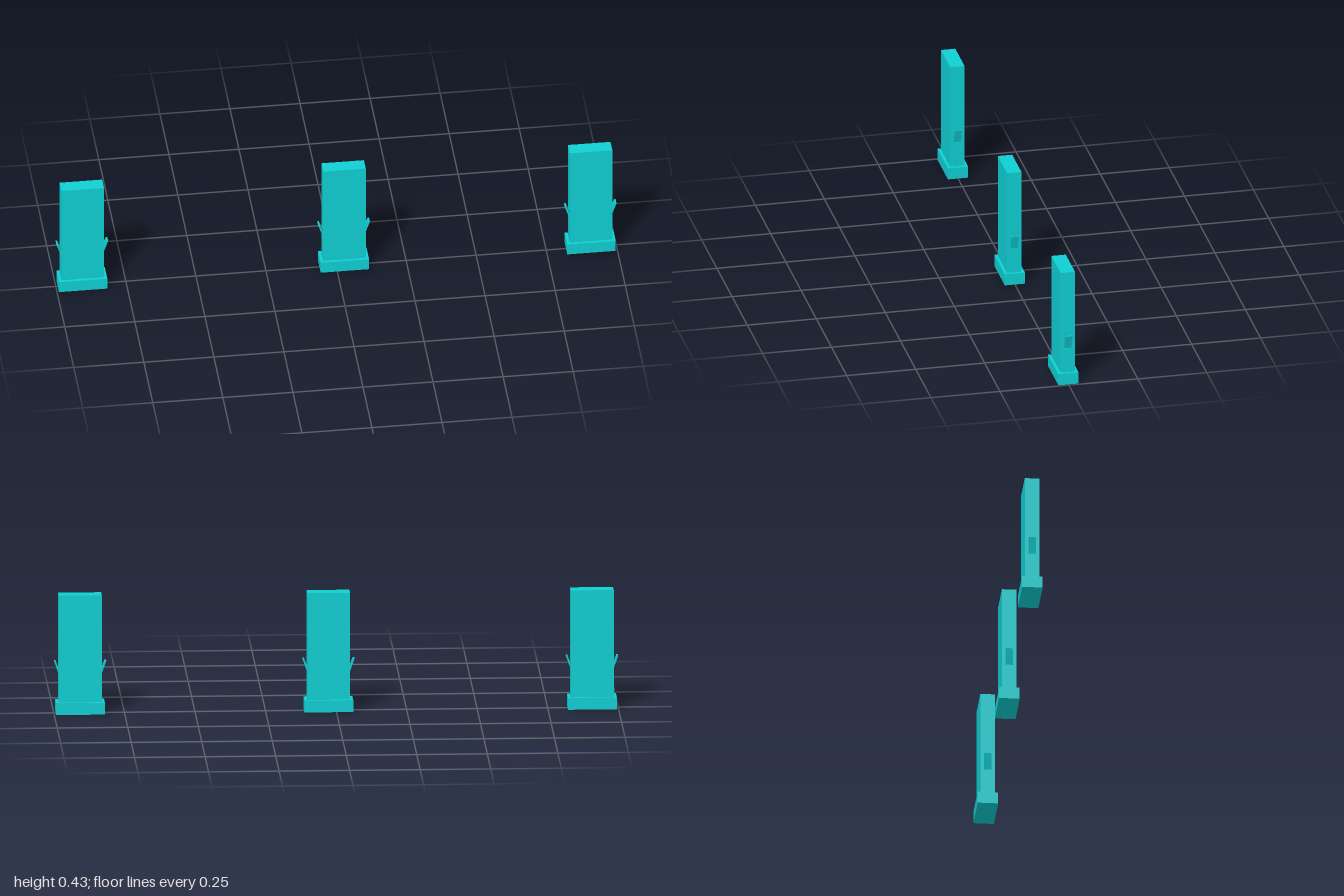
import * as THREE from 'three';

const BODY = { w: 0.152, h: 0.43, d: 0.052 };
const BASE = { w: 0.173, h: 0.043, d: 0.073 };
const SLOT = { bottom: 0.136, top: 0.199, half: 0.0135, depth: 0.012 };

const material = new THREE.MeshStandardMaterial({ color: 0x0fced2, flatShading: true });

function addPart(parent, name, geometry, x = 0, y = 0, z = 0) {
  const mesh = new THREE.Mesh(geometry, material);
  mesh.name = name;
  mesh.position.set(x, y, z);
  parent.add(mesh);
  return mesh;
}

// Side wall of the body with a round-topped slot, extruded along x
function sideWallGeometry() {
  const { half, bottom, top, depth } = SLOT;
  const r = 0.004;
  const wall = new THREE.Shape();
  wall.moveTo(-BODY.d / 2, BASE.h);
  wall.lineTo(BODY.d / 2, BASE.h);
  wall.lineTo(BODY.d / 2, BODY.h);
  wall.lineTo(-BODY.d / 2, BODY.h);
  wall.closePath();

  const slot = new THREE.Path();
  slot.moveTo(-half, bottom);
  slot.lineTo(-half, top - r);
  slot.quadraticCurveTo(-half, top, -half + r, top);
  slot.lineTo(half - r, top);
  slot.quadraticCurveTo(half, top, half, top - r);
  slot.lineTo(half, bottom);
  slot.closePath();
  wall.holes.push(slot);

  const geometry = new THREE.ExtrudeGeometry(wall, { depth, bevelEnabled: false, curveSegments: 4 });
  return geometry.rotateY(Math.PI / 2);
}

// Spring latch: a leaning tab and the sloped slot floor, meeting at the bottom
function latchGeometry() {
  const { bottom, top, depth, half } = SLOT;
  const profile = new THREE.Shape([
    [-depth, bottom], [-0.002, bottom], [0.0165, 0.189], [0.0105, 0.189],
    [-0.007, 0.142], [-0.004, top], [-depth, top],
  ].map(([x, y]) => new THREE.Vector2(x, y)));
  const geometry = new THREE.ExtrudeGeometry(profile, { depth: 2 * half - 0.001, bevelEnabled: false });
  return geometry.translate(0, 0, -half + 0.0005);
}

export function createModel() {
  const model = new THREE.Group();
  model.name = 'connectorCaps';

  const baseGeo = new THREE.BoxGeometry(BASE.w, BASE.h, BASE.d);
  const coreH = BODY.h - BASE.h;
  const coreGeo = new THREE.BoxGeometry(BODY.w - 2 * SLOT.depth, coreH, BODY.d);
  const wallGeo = sideWallGeometry();
  const latchGeo = latchGeometry();

  [-0.907, 0.027, 0.907].forEach((x, i) => {
    const unit = new THREE.Group();
    unit.name = ['rightUnit', 'middleUnit', 'leftUnit'][i];
    unit.position.x = x;
    addPart(unit, 'base', baseGeo, 0, BASE.h / 2);
    addPart(unit, 'bodyCore', coreGeo, 0, BASE.h + coreH / 2);

    // Slotted wall and latch on both sides
    for (const [prefix, turn] of [['left', 0], ['right', Math.PI]]) {
      const side = new THREE.Group();
      side.name = prefix + 'Side';
      side.rotation.y = turn;
      addPart(side, prefix + 'Wall', wallGeo, BODY.w / 2 - SLOT.depth);
      addPart(side, prefix + 'Latch', latchGeo, BODY.w / 2);
      unit.add(side);
    }
    model.add(unit);
  });
  return model;
}
